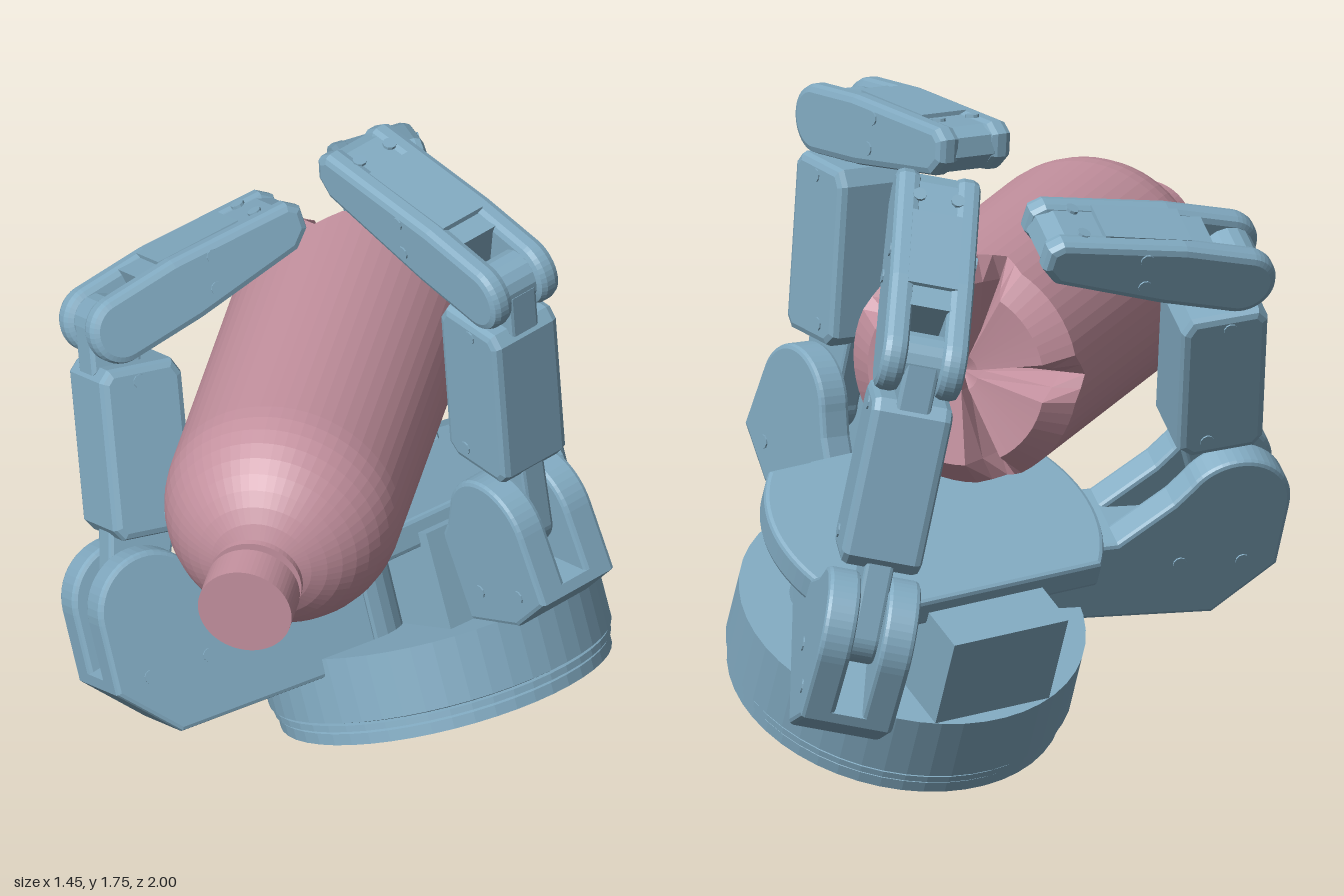
import * as THREE from 'three';

const V = (x, y, z) => new THREE.Vector3(x, y, z);
const blue = new THREE.MeshStandardMaterial({ color: 0x82abc2, flatShading: true });
const pink = new THREE.MeshStandardMaterial({ color: 0xc4919f, flatShading: true });

// Hand frame: tilted axis of the wrist disc and the centre of its underside
const UP = V(-0.31, 0.908, -0.285).normalize();
const BASE = V(0.268, 0.186, -0.043);
const DISC = 0.24;

function add(parent, name, geometry, material = blue) {
  const mesh = new THREE.Mesh(geometry, material);
  mesh.name = name;
  parent.add(mesh);
  return mesh;
}

function framed(name, origin, x, y, z) {
  const g = new THREE.Group();
  g.name = name;
  g.quaternion.setFromRotationMatrix(new THREE.Matrix4().makeBasis(x, y, z));
  g.position.copy(origin);
  return g;
}

// Plate with rounded edges, centred on z; outline keeps its size
function plate(shape, width, bevel = 0.015, z = 0) {
  const geo = new THREE.ExtrudeGeometry(shape, {
    depth: width - 2 * bevel, bevelEnabled: true, bevelThickness: bevel, bevelSize: bevel,
    bevelOffset: -bevel, bevelSegments: 2, curveSegments: 10,
  });
  return geo.translate(0, 0, z - width / 2 + bevel);
}

const poly = (pts) => new THREE.Shape(pts.map(([x, y]) => new THREE.Vector2(x, y)));

function screw(parent, x, y, z, alongY) {
  const geo = new THREE.CylinderGeometry(0.018, 0.018, 0.008, 10);
  if (!alongY) geo.rotateX(Math.PI / 2);
  add(parent, 'screw', geo.translate(x, y, z));
}

function makeBottle() {
  const profile = [
    [0, -0.34], [0.05, -0.365], [0.24, -0.39], [0.305, -0.32], [0.305, -0.26], [0.305, 0.53],
  ];
  for (let i = 1; i <= 9; i++) {
    const a = (i / 9) * 1.27;
    profile.push([0.305 * Math.cos(a), 0.53 + 0.3 * Math.sin(a)]);
  }
  profile.push([0.085, 0.855], [0.12, 0.855], [0.12, 0.872], [0.09, 0.872], [0.09, 0.9],
    [0.122, 0.9], [0.122, 1.0], [0, 1.0]);
  const geo = new THREE.LatheGeometry(profile.map(([r, y]) => new THREE.Vector2(r, y)), 60);
  geo.rotateX(Math.PI / 2);
  // Five V-shaped grooves radiate across the foot
  const p = geo.attributes.position;
  for (let i = 0; i < p.count; i++) {
    const x = p.getX(i), y = p.getY(i), z = p.getZ(i);
    if (z > -0.3 || Math.hypot(x, y) < 0.01) continue;
    const deg = THREE.MathUtils.radToDeg(Math.atan2(y, x));
    const off = Math.abs(THREE.MathUtils.euclideanModulo(deg, 72) - 36);
    p.setZ(i, THREE.MathUtils.lerp(z, -0.268, Math.max(0, 1 - off / 12)));
  }
  geo.computeVertexNormals();
  const bottle = new THREE.Group();
  bottle.name = 'bottle';
  add(bottle, 'bottleBody', geo, pink);
  bottle.position.set(-0.03, 1.13, 0);
  return bottle;
}

function makePalm() {
  const e1 = V(1, 0, 0).addScaledVector(UP, -UP.x).normalize();
  const g = framed('palm', BASE, e1, UP, e1.clone().cross(UP));
  const rim = [[0, 0], [0.435, 0], [0.435, 0.03], [0.425, 0.034], [0.442, 0.038], [0.442, 0.055],
    [0.43, 0.058], [0.45, 0.065], [0.45, DISC], [0, DISC]];
  add(g, 'wristDisc', new THREE.LatheGeometry(rim.map(([r, y]) => new THREE.Vector2(r, y)), 48));
  // Upper palm is turned to face the thumb
  const upper = new THREE.Group();
  upper.name = 'upperPalm';
  upper.rotation.y = -THREE.MathUtils.degToRad(40);
  g.add(upper);
  const padShape = new THREE.Shape();
  padShape.absarc(0, 0, 0.44, 0.82, Math.PI - 0.88, false);
  padShape.absarc(0, 0, 0.44, Math.PI + 0.88, Math.PI * 2 - 0.82, false);
  const pad = plate(padShape, 0.08, 0.012).rotateX(-Math.PI / 2).translate(0, 0.5, 0);
  add(upper, 'palmPad', pad);
  add(upper, 'palmBlock', new THREE.BoxGeometry(0.75, 0.27, 0.34).translate(-0.04, 0.365, 0));
  return g;
}

function makeFinger(name, knuckle, joint, tip, baseLength, depth, hasHub) {
  // Finger frame: x towards the grasp, y along the hand axis, z across the finger
  const n = joint.clone().sub(knuckle).cross(tip.clone().sub(joint)).normalize();
  const v = UP.clone().addScaledVector(n, -UP.dot(n)).normalize();
  const h = v.clone().cross(n);
  if (h.dot(tip.clone().sub(joint)) < 0) h.negate();
  const g = framed(name, knuckle, h, v, h.clone().cross(v));
  const flat = (p) => {
    const d = p.clone().sub(knuckle);
    return [d.dot(h), d.dot(v)];
  };
  const [jx, jy] = flat(joint), [tx, ty] = flat(tip);

  // Base link: two cheeks with a solid core, leaving a slot for the strut
  const cheek = poly([[baseLength, -depth], [baseLength, -0.12], [0.3, -0.1], [0.17, 0.02]]);
  cheek.absarc(0, 0, 0.15, 0.5, Math.PI, false);
  cheek.lineTo(-0.15, -0.19);
  cheek.lineTo(0, -depth);
  for (const s of [-1, 1]) {
    add(g, 'baseCheek', plate(cheek, 0.085, 0.012, s * 0.0775));
    screw(g, -0.05, -0.17, s * 0.12);
    screw(g, 0.12, -0.17, s * 0.12);
  }
  add(g, 'baseCore', plate(poly([[baseLength, -depth], [baseLength, -0.12], [0.3, -0.1],
    [0.12, -0.1], [-0.15, -0.16], [-0.15, -0.19], [0, -depth]]), 0.11, 0.002));
  add(g, 'knucklePin', new THREE.CylinderGeometry(0.06, 0.06, 0.2, 16).rotateX(Math.PI / 2));
  if (hasHub) {
    const hub = new THREE.CylinderGeometry(0.12, 0.12, 0.26, 24);
    add(g, 'spreadHub', hub.translate(baseLength, -0.25, 0));
  }

  // Middle link: y runs from knuckle to joint, x faces the grasp
  const len = Math.hypot(jx, jy);
  const mid = new THREE.Group();
  mid.name = 'middleLink';
  mid.rotation.z = -Math.atan2(jx, jy);
  g.add(mid);
  const strut = poly([[0.08, 0], [0.13, 0.21], [-0.06, 0.21], [-0.08, 0]]);
  strut.absarc(0, 0, 0.08, Math.PI, Math.PI * 2, false);
  add(mid, 'strut', plate(strut, 0.075, 0.01));
  const top = len - 0.1;
  add(mid, 'housing', plate(poly([[0.12, 0.18], [0.155, 0.21], [0.155, top - 0.04], [0.13, top],
    [-0.05, top], [-0.075, top - 0.03], [-0.075, 0.21], [-0.05, 0.18]]), 0.21, 0.02));
  const neck = poly([[0.07, top - 0.02], [0.07, len], [-0.07, len], [-0.07, top - 0.02]]);
  add(mid, 'neck', plate(neck, 0.09, 0.01));
  for (const s of [-1, 1]) {
    screw(mid, 0.08, 0.23, s * 0.105);
    screw(mid, 0.03, top - 0.04, s * 0.105);
  }

  // Fingertip link: x runs from joint to tip
  const reach = Math.hypot(tx - jx, ty - jy);
  const end = new THREE.Group();
  end.name = 'fingertip';
  end.position.set(jx, jy, 0);
  end.rotation.z = Math.atan2(ty - jy, tx - jx);
  g.add(end);
  const side = new THREE.Shape();
  side.absarc(0, 0, 0.09, Math.PI * 0.5, Math.PI * 1.5, false);
  for (const [x, y] of [[0.2, -0.1], [reach - 0.06, -0.095], [reach - 0.01, -0.06],
    [reach, 0], [reach - 0.03, 0.03], [0.2, 0.08]]) side.lineTo(x, y);
  for (const s of [-1, 1]) {
    add(end, 'tipCheek', plate(side, 0.065, 0.02, s * 0.0775));
    screw(end, 0.3, 0.03, s * 0.11);
    screw(end, 0.27, -0.05, s * 0.11);
    screw(end, reach - 0.1, 0.04, s * 0.05, true);
  }
  add(end, 'tipCore', plate(poly([[0.11, 0.08], [0.11, -0.09], [0.2, -0.1], [reach - 0.06, -0.09],
    [reach - 0.01, -0.05], [reach - 0.01, 0.0], [reach - 0.05, 0.025], [0.2, 0.07]]), 0.12, 0.004));
  const cover = new THREE.BoxGeometry(reach - 0.33, 0.02, 0.13);
  cover.rotateZ(-0.13).translate(reach / 2 + 0.01, 0.058, 0);
  add(end, 'tipCover', cover);
  add(end, 'jointPin', new THREE.CylinderGeometry(0.07, 0.07, 0.2, 16).rotateX(Math.PI / 2));
  return g;
}

export function createModel() {
  const model = new THREE.Group();
  model.name = 'gripperWithBottle';
  model.add(
    makeBottle(),
    makePalm(),
    makeFinger('rightFinger', V(-0.45, 0.67, 0.41), V(-0.575, 1.34, 0.15), V(-0.2, 1.5, -0.25), 0.58, 0.34, true),
    makeFinger('thumb', V(0.5, 0.87, 0.11), V(0.46, 1.62, 0.13), V(-0.03, 1.72, -0.24), 0.3, 0.26, false),
    makeFinger('backFinger', V(0.06, 0.56, -0.82), V(-0.065, 1.27, -0.735), V(0.05, 1.63, -0.3), 0.58, 0.34, true),
  );
  return model;
}
